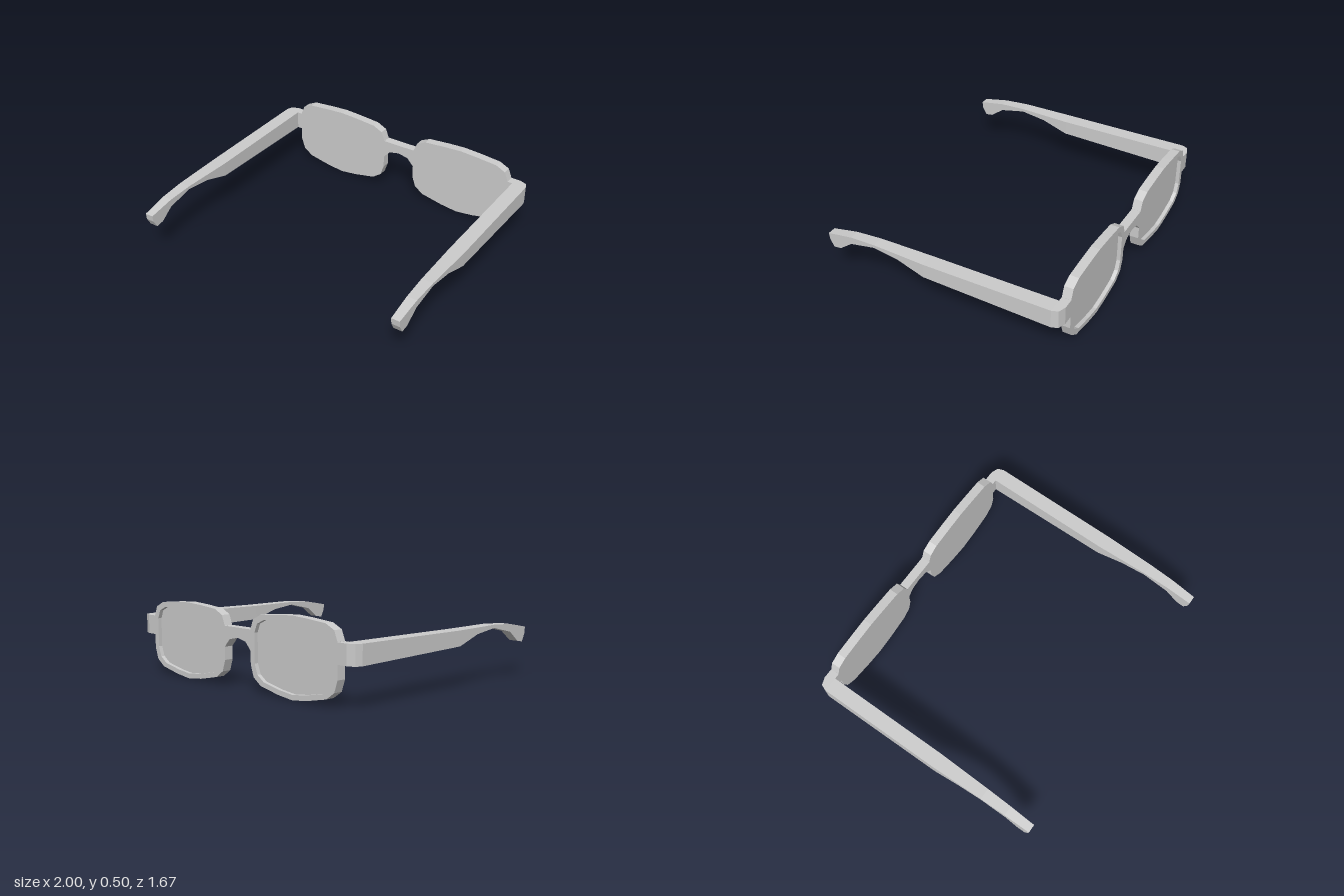
import * as THREE from 'three';

const BACK = -0.833, FRONT = -0.772, LENS_X = 0.494, LENS_Y = 0.252;

const frameMat = new THREE.MeshStandardMaterial({ color: 0xcccccc, flatShading: true });

const toShape = (pts) => new THREE.Shape(pts.map(([x, y]) => new THREE.Vector2(x, y)));

function extrude(shape, depth) {
  return new THREE.ExtrudeGeometry(shape, { depth, bevelEnabled: false });
}

function part(name, geometry) {
  const mesh = new THREE.Mesh(geometry, frameMat);
  mesh.name = name;
  return mesh;
}

// Half of the rim outline, relative to the lens centre, from top to bottom
const half = [
  [0, 0.251], [0.125, 0.244], [0.277, 0.231], [0.345, 0.198], [0.371, 0.134],
  [0.371, -0.084], [0.345, -0.16], [0.281, -0.205], [0.125, -0.237], [0, -0.252],
];
const mirrored = half.slice(1, -1).reverse().map(([x, y]) => [-x, y]);
const outline = [...half, ...mirrored];
const opening = outline.map(([x, y]) => [x * 0.9, y * 0.87]);

// Rim: the hole runs opposite to the outline so its walls face inwards
function rimGeometry() {
  const shape = toShape(outline);
  shape.holes.push(toShape([...opening].reverse()));
  return extrude(shape, FRONT - BACK);
}

// Temple: four-cornered sections (bottom z, y, top z, y) joined in a loft,
// narrowing from the middle towards the ear tip
function templeGeometry() {
  const sections = [
    [FRONT, 0.258, FRONT, 0.385], [0.105, 0.273, 0.105, 0.372], [0.29, 0.33, 0.29, 0.372],
    [0.47, 0.351, 0.47, 0.372], [0.655, 0.308, 0.65, 0.36], [0.745, 0.238, 0.74, 0.343],
    [0.8, 0.228, 0.8, 0.331], [0.828, 0.28, 0.833, 0.325],
  ];
  const halfWidth = (z) => 0.05 * (1 - 0.42 * Math.max(0, (z - 0.105) / 0.728));
  const positions = [], index = [];
  for (const [zb, yb, zt, yt] of sections) {
    const b = halfWidth(zb), t = halfWidth(zt);
    positions.push(b, yb, zb, t, yt, zt, -t, yt, zt, -b, yb, zb);
  }
  const last = (sections.length - 1) * 4;
  for (let s = 0; s < last; s += 4) {
    for (let k = 0; k < 4; k++) {
      const a = s + k, b = s + (k + 1) % 4;
      index.push(a, b, b + 4, a, b + 4, a + 4);
    }
  }
  // End caps
  index.push(0, 2, 1, 0, 3, 2, last, last + 1, last + 2, last, last + 2, last + 3);
  const indexed = new THREE.BufferGeometry();
  indexed.setAttribute('position', new THREE.Float32BufferAttribute(positions, 3));
  indexed.setIndex(index);
  const geo = indexed.toNonIndexed();
  geo.computeVertexNormals();
  return geo;
}

// End piece: rounded corner in plan (x, -z), joining rim and temple
function endPieceGeometry(side) {
  const plan = [
    [0.855, -FRONT], [1, -FRONT], [0.985, 0.814], [0.935, -BACK], [0.855, -BACK],
  ].map(([x, y]) => [x * side, y]);
  return extrude(toShape(plan), 0.127).rotateX(-Math.PI / 2).translate(0, 0.258, 0);
}

export function createModel() {
  const group = new THREE.Group();
  group.name = 'glasses';

  for (const [side, label] of [[1, 'left'], [-1, 'right']]) {
    const rim = part(label + 'Rim', rimGeometry());
    rim.position.set(side * LENS_X, LENS_Y, BACK);

    // Lens, flush with the inner face and recessed on the outer one
    const lens = part(label + 'Lens', extrude(toShape(opening), 0.035));
    lens.position.set(side * LENS_X, LENS_Y, FRONT - 0.035);

    const temple = part(label + 'Temple', templeGeometry());
    temple.position.x = side * 0.95;

    group.add(rim, lens, temple, part(label + 'EndPiece', endPieceGeometry(side)));
  }

  // Nose bridge with an arched underside
  const bridge = part('bridge', extrude(toShape([
    [-0.125, 0.385], [-0.125, 0.25], [-0.115, 0.262], [-0.075, 0.305], [0, 0.321],
    [0.075, 0.305], [0.115, 0.262], [0.125, 0.25], [0.125, 0.385],
  ]), FRONT - BACK));
  bridge.position.z = BACK;
  group.add(bridge);

  return group;
}
